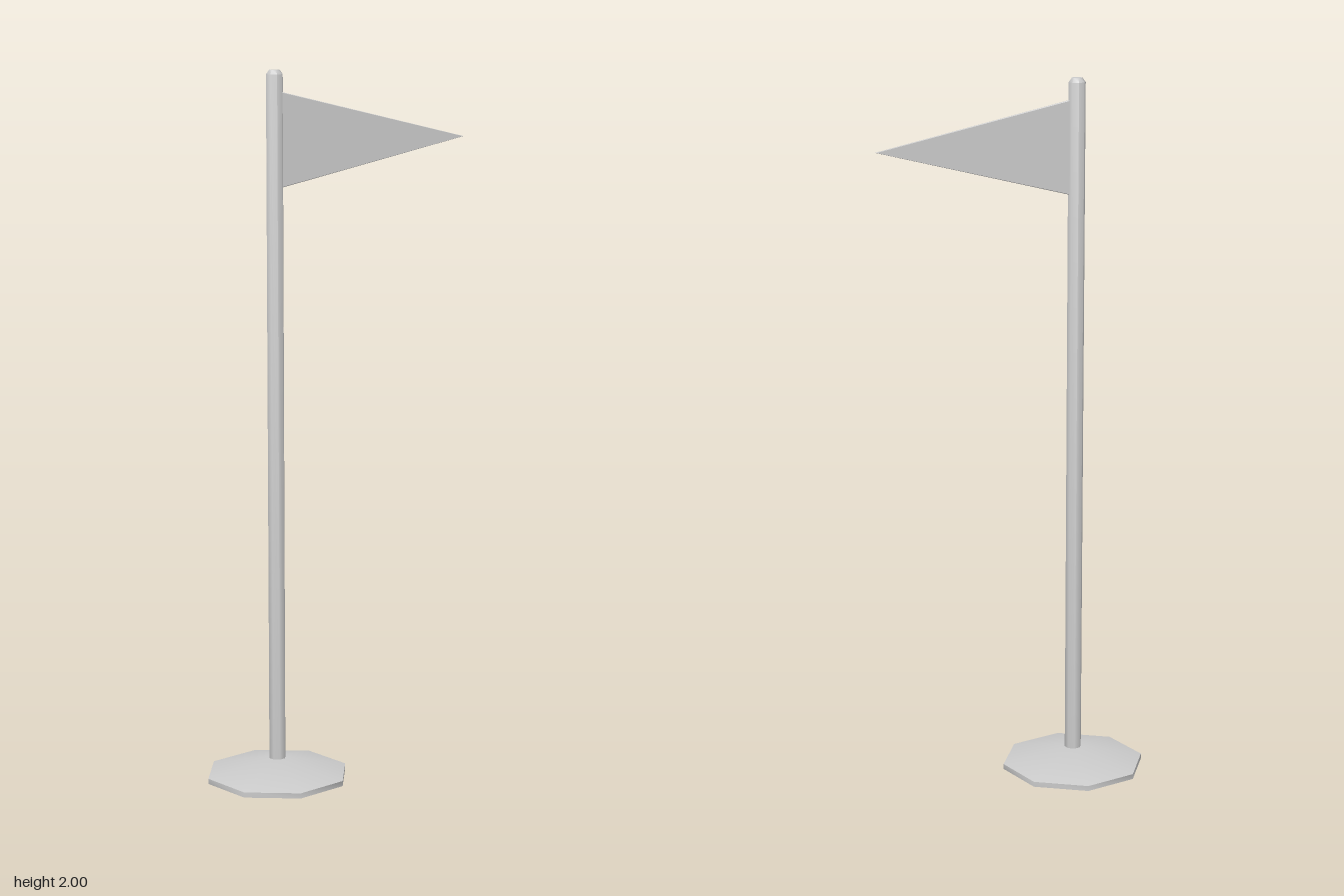
import * as THREE from 'three';
import { toCreasedNormals } from 'three/addons/utils/BufferGeometryUtils.js';

const POLE_X = -0.176;
const FLAG_HALF = 0.005;

export function createModel() {
  const model = new THREE.Group();
  model.name = 'pennantOnPole';
  const material = new THREE.MeshStandardMaterial({ color: 0xcccccc });

  const add = (name, geometry, x = 0, z = 0) => {
    const mesh = new THREE.Mesh(geometry, material);
    mesh.name = name;
    mesh.position.set(x, 0, z);
    model.add(mesh);
  };

  // Eight-sided turned part: smooth around, sharp where the profile turns hard
  const turned = (profile) => toCreasedNormals(
    new THREE.LatheGeometry(profile.map(([r, y]) => new THREE.Vector2(r, y)), 8), 0.9);

  // Base: thin rim with a shallow cone on top, closed underneath
  add('base', turned([[0, 0], [0.206, 0], [0.206, 0.015], [0, 0.062]]), POLE_X);

  // Pole with a slightly chamfered top
  add('pole', turned([[0, 0.03], [0.024, 0.03], [0.024, 1.988], [0.015, 2], [0, 2]]), POLE_X);

  // Pennant: thin triangle with fine bevelled edges, its hoist sunk into the pole
  const outline = new THREE.Shape([
    new THREE.Vector2(-0.165, 1.942),
    new THREE.Vector2(-0.165, 1.678),
    new THREE.Vector2(0.38, 1.81),
  ]);
  const bevel = 0.002;
  add('pennant', new THREE.ExtrudeGeometry(outline, {
    depth: 2 * (FLAG_HALF - bevel),
    bevelEnabled: true,
    bevelThickness: bevel,
    bevelSize: bevel,
    bevelOffset: -bevel,
    bevelSegments: 1,
  }), 0, bevel - FLAG_HALF);

  return model;
}
